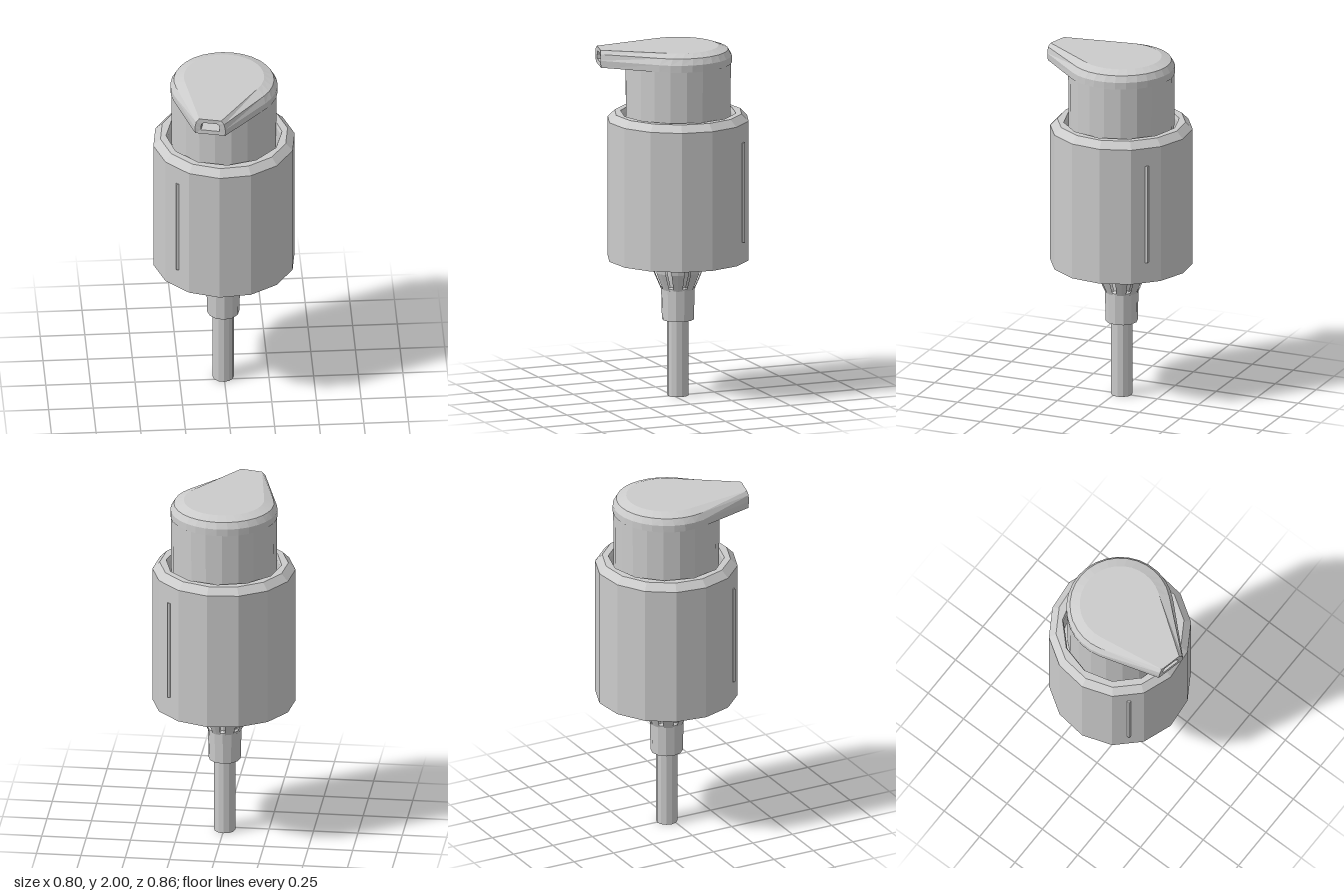
import * as THREE from 'three';

const grey = new THREE.MeshStandardMaterial({ color: 0xcccccc, flatShading: true, side: THREE.DoubleSide });

function add(parent, name, geometry) {
  const mesh = new THREE.Mesh(geometry, grey);
  mesh.name = name;
  parent.add(mesh);
  return mesh;
}

// Faceted turned part from [radius, y] pairs
function lathe(profile, sides, start = 0, length = Math.PI * 2) {
  const points = profile.map(([r, y]) => new THREE.Vector2(r, y));
  return new THREE.LatheGeometry(points, sides, start, length);
}

// Skin over cross-section loops; the last loop (and optionally the first) is capped
function loft(loops, closed, capStart) {
  const pos = [];
  const tri = (...pts) => pts.forEach((p) => pos.push(p.x, p.y, p.z));
  const n = loops[0].length;
  for (let k = 0; k < loops.length - 1; k++) {
    const a = loops[k], b = loops[k + 1];
    for (let i = 0; i < (closed ? n : n - 1); i++) {
      const j = (i + 1) % n;
      tri(a[i], a[j], b[j]);
      tri(a[i], b[j], b[i]);
    }
  }
  const cap = (loop, flip) => {
    const c = loop.reduce((s, p) => s.add(p), new THREE.Vector3()).divideScalar(n);
    loop.forEach((p, i) => {
      const q = loop[(i + 1) % n];
      flip ? tri(c, q, p) : tri(c, p, q);
    });
  };
  cap(loops[loops.length - 1], false);
  if (capStart) cap(loops[0], true);
  const geometry = new THREE.BufferGeometry();
  geometry.setAttribute('position', new THREE.Float32BufferAttribute(pos, 3));
  geometry.computeVertexNormals();
  return geometry;
}

// Teardrop outline: spout tip corner, tangent onto the round back, other tip corner
function teardrop([r, half, reach, y]) {
  const tangent = Math.acos(r / Math.hypot(half, reach)) + Math.atan2(half, reach);
  const pts = [new THREE.Vector3(half, y, reach)];
  const steps = 20;
  for (let i = 0; i <= steps; i++) {
    const a = tangent + (i / steps) * (2 * Math.PI - 2 * tangent);
    pts.push(new THREE.Vector3(r * Math.sin(a), y, r * Math.cos(a)));
  }
  pts.push(new THREE.Vector3(-half, y, reach));
  return pts;
}

// Regular polygon matching the lathe's corner positions once laid flat
function polygon(Type, r, sides, start) {
  const pts = [];
  for (let i = 0; i < sides; i++) {
    const a = start + (i / sides) * Math.PI * 2;
    pts.push(new THREE.Vector2(r * Math.sin(a), -r * Math.cos(a)));
  }
  return new Type(pts);
}

function buildCollar() {
  const collar = new THREE.Group();
  collar.name = 'collar';
  const turn = -0.125;
  // Outer shell with a recessed floor underneath
  add(collar, 'collarShell', lathe(
    [[0, 0.95], [0.385, 0.95], [0.385, 0.785], [0.4, 0.785], [0.4, 1.58], [0.36, 1.62]], 14, turn));
  // Flat top rim with a twelve-sided opening
  const rim = polygon(THREE.Shape, 0.36, 14, turn);
  rim.holes.push(polygon(THREE.Path, 0.325, 12, 0));
  add(collar, 'collarRim', new THREE.ShapeGeometry(rim).rotateX(-Math.PI / 2).translate(0, 1.62, 0));
  add(collar, 'collarWell', lathe([[0.325, 1.62], [0.318, 1.6], [0.318, 1.45], [0, 1.45]], 12));
  // Two upright strips on opposite sides
  for (const s of [1, -1]) {
    add(collar, 'sideStrip', new THREE.BoxGeometry(0.016, 0.57, 0.016))
      .position.set(0.277 * s, 1.19, -0.277 * s);
  }
  return collar;
}

function buildHead() {
  const head = new THREE.Group();
  head.name = 'pumpHead';
  add(head, 'headWall', lathe([[0.294, 1.45], [0.298, 1.92]], 20));

  // Teardrop cap: radius, tip half-width, tip reach, height
  const loops = [
    [0.3, 0.085, 0.452, 1.905],
    [0.3, 0.086, 0.455, 1.945],
    [0.28, 0.079, 0.455, 1.98],
    [0.225, 0.062, 0.45, 2],
  ].map(teardrop);
  add(head, 'headCap', loft(loops, false, true));

  // Spout face with a recessed opening
  const last = loops[0].length - 1;
  const edge = [...loops.map((l) => l[0]), ...loops.map((l) => l[last]).reverse()];
  const inset = (z) => edge.map((p) => new THREE.Vector3(p.x * 0.62, 1.953 + (p.y - 1.953) * 0.5, z));
  add(head, 'spoutMouth', loft([edge, inset(0.45), inset(0.36)], true, false));

  head.rotation.y = -0.234;
  return head;
}

function buildStem() {
  const stem = new THREE.Group();
  stem.name = 'stem';
  add(stem, 'dipTube', lathe([[0, 0.4], [0.048, 0.4], [0.048, 0], [0.06, 0], [0.06, 0.45]], 12));
  add(stem, 'sleeve', lathe(
    [[0.05, 0.435], [0.09, 0.435], [0.095, 0.62], [0.078, 0.63], [0.078, 0.95]], 12));
  // Flared fins separated by slits
  const fin = [[0.078, 0.61], [0.095, 0.61], [0.138, 0.71], [0.147, 0.79], [0.147, 0.95],
    [0.125, 0.95], [0.125, 0.79], [0.115, 0.71], [0.078, 0.62]];
  for (let i = 0; i < 8; i++) {
    add(stem, 'fin', lathe(fin, 2, i * Math.PI / 4 + 0.13, 0.53));
  }
  stem.position.x = -0.004;
  return stem;
}

export function createModel() {
  const model = new THREE.Group();
  model.name = 'pumpDispenser';
  model.add(buildCollar(), buildHead(), buildStem());
  model.children.forEach((part) => { part.position.z = -0.031; });
  return model;
}
